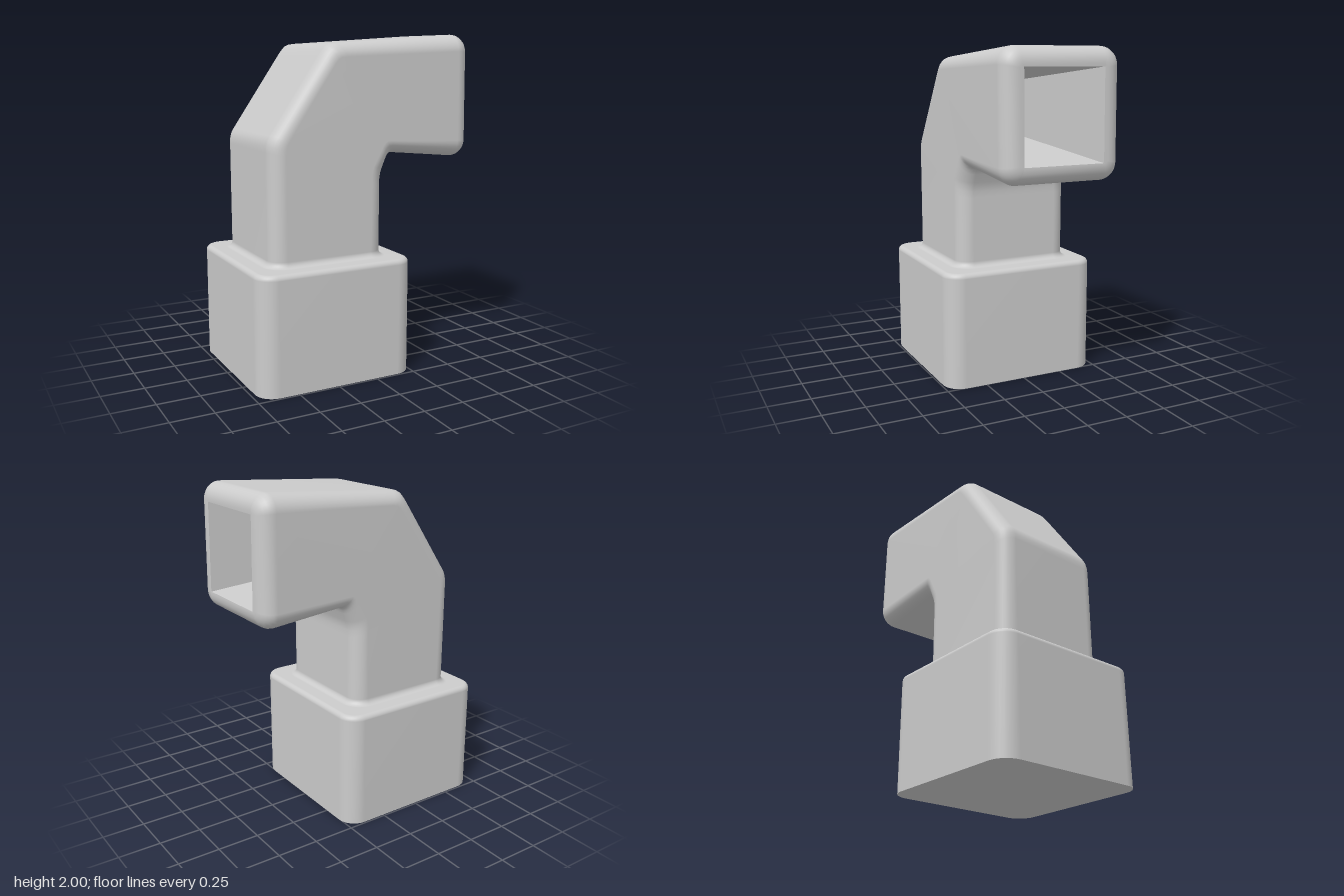
import * as THREE from 'three';

const CORNER = 8; // segments per rounded corner

// A section is [outerX, outerY, innerX, innerY, halfDepth, cornerRadius]:
// a rounded rectangle spanning outer to inner point, and +-halfDepth in z.
function ring([ox, oy, ix, iy, hz, r]) {
  const cx = (ox + ix) / 2, cy = (oy + iy) / 2;
  const len = Math.hypot(ix - ox, iy - oy), hl = len / 2;
  const ux = len ? (ix - ox) / len : 1, uy = len ? (iy - oy) / len : 0;
  const pts = [];
  for (let c = 0; c < 4; c++) {
    const sp = c === 0 || c === 3 ? 1 : -1, sq = c < 2 ? 1 : -1;
    for (let k = 0; k <= CORNER; k++) {
      const a = (c + k / CORNER) * Math.PI / 2;
      const p = sp * (hl - r) + r * Math.cos(a);
      const q = sq * (hz - r) + r * Math.sin(a);
      pts.push(cx + ux * p, cy + uy * p, q);
    }
  }
  return pts;
}

function loft(sections, flat = false) {
  const n = 4 * (CORNER + 1), index = [];
  for (let s = 0; s < sections.length - 1; s++) {
    for (let i = 0; i < n; i++) {
      const a = s * n + i, b = s * n + (i + 1) % n;
      index.push(a, a + n, b, b, a + n, b + n);
    }
  }
  let geo = new THREE.BufferGeometry();
  geo.setAttribute('position', new THREE.Float32BufferAttribute(sections.flatMap(ring), 3));
  geo.setIndex(index);
  if (flat) geo = geo.toNonIndexed();
  geo.computeVertexNormals();
  return geo;
}

export function createModel() {
  const group = new THREE.Group();
  const material = new THREE.MeshStandardMaterial({ color: 0xcccccc });
  const add = (name, geo) => {
    const mesh = new THREE.Mesh(geo, material);
    mesh.name = name;
    group.add(mesh);
  };
  const STEPS = 6;
  const arc = (fn) => Array.from({ length: STEPS + 1 }, (_, k) => {
    const a = k / STEPS * Math.PI / 2;
    return fn(Math.sin(a), Math.cos(a));
  });

  // Square socket with a softened top edge
  const bottom = [-0.725, 0, 0.255, 0, 0.49, 0.11];
  const socketEdge = arc((s, c) => {
    const d = 0.03 * (1 - c), y = 0.67 + 0.03 * s;
    return [-0.725 + d, y, 0.255 - d, y, 0.49 - d, 0.11 - d];
  });

  // Small fillet where the neck rises out of the socket
  const neckFillet = arc((s, c) => {
    const d = 0.035 * (1 - s), y = 0.735 - 0.035 * c;
    return [-0.595 - d, y, 0.12 + d, y, 0.36 + d, 0.09 + d];
  });

  // Neck and elbow: chamfered outside, tight curve inside
  const elbow = [
    [-0.595, 1.35, 0.12, 1.12],
    [-0.593, 1.385, 0.121, 1.16],
    [-0.585, 1.415, 0.126, 1.19],
    [-0.57, 1.44, 0.134, 1.215],
    [-0.275, 1.87, 0.153, 1.265],
    [-0.25, 1.905, 0.162, 1.285],
    [-0.228, 1.93, 0.174, 1.3],
    [-0.205, 1.942, 0.187, 1.308],
    [-0.17, 1.947, 0.21, 1.308],
  ].map((p) => [...p, 0.36, 0.09]);

  // Slightly flared head with a rounded mouth
  const mouthEdge = arc((s, c) => {
    const d = 0.09 * (1 - c), f = 0.09 * s;
    return [0.628 + f, 2 - d, 0.636 + f, 1.264 + d, 0.36 - d, 0.1 - 0.85 * d];
  });
  const opening = [0.717, 1.89, 0.725, 1.368, 0.245, 0];

  add('elbowBody', loft([bottom, ...socketEdge, ...neckFillet, ...elbow, ...mouthEdge, opening]));

  // Tapering square recess inside the mouth
  add('mouthRecess', loft([
    opening,
    [-0.08, 1.81, -0.08, 1.45, 0.168, 0],
    [-0.08, 1.63, -0.08, 1.63, 0, 0],
  ], true));

  // Flat underside
  add('bottomFace', loft([[-0.235, 0, -0.235, 0, 0, 0], bottom], true));

  return group;
}
